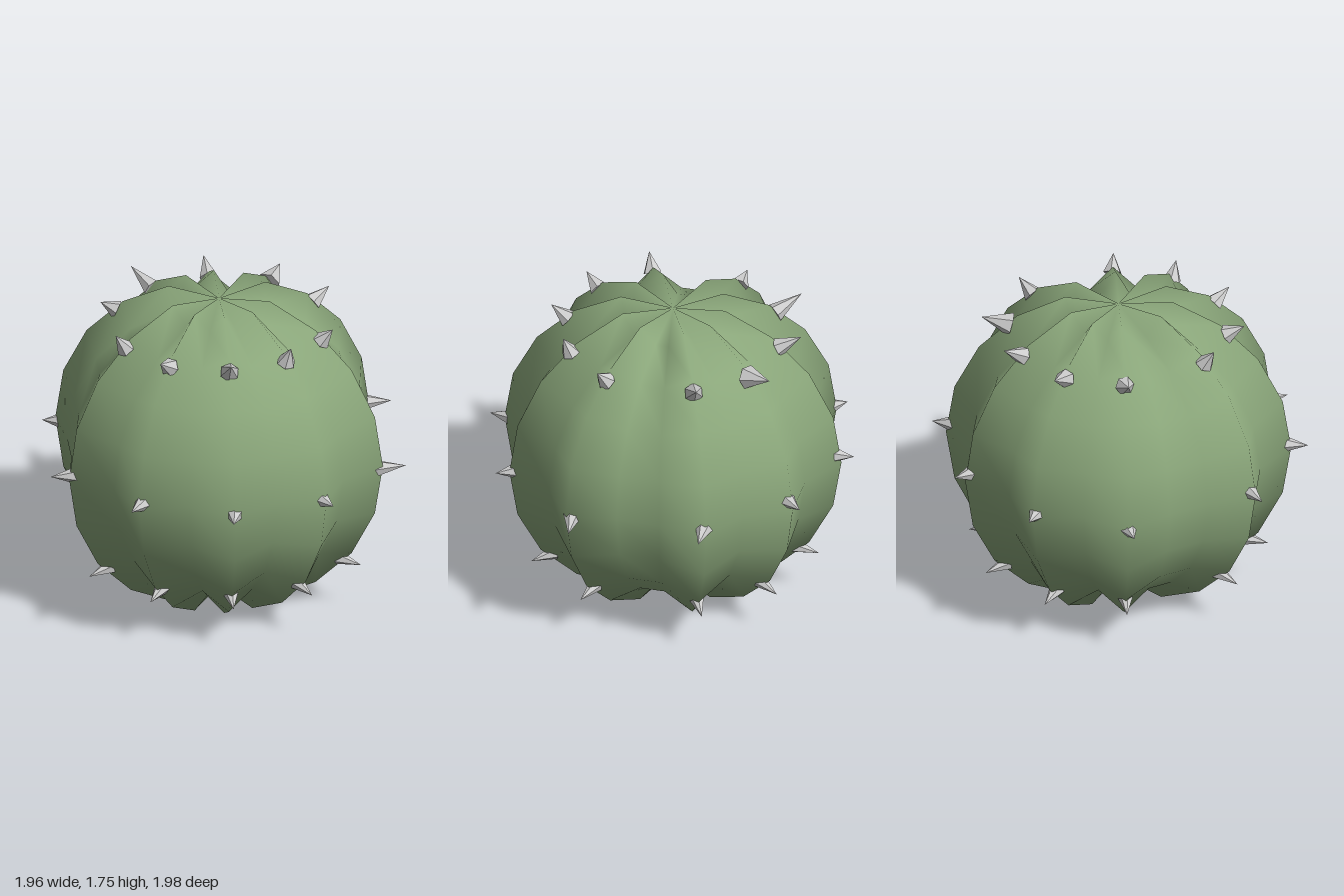
import * as THREE from 'three';
import { mergeVertices } from 'three/addons/utils/BufferGeometryUtils.js';

const SEG = 22;
const CENTER = new THREE.Vector3(-0.025, 0.885, -0.01);
const RIDGE = 0.922, VALLEY = 0.81, POLE = 0.85;
// columns of the sphere that stick out as ribs
const RIBS = [1, 3, 5, 7, 9, 12, 14, 16, 18, 20];
const columnAngle = (k) => (k / SEG) * Math.PI * 2;

// sphere whose columns are pushed in or out to make the ribs
function bodyGeometry() {
  let geo = new THREE.SphereGeometry(1, SEG, 10);
  geo.deleteAttribute('uv');
  geo.deleteAttribute('normal');
  const pos = geo.attributes.position;
  const v = new THREE.Vector3();
  for (let i = 0; i < pos.count; i++) {
    v.fromBufferAttribute(pos, i);
    if (Math.hypot(v.x, v.z) < 0.01) {
      v.set(0, Math.sign(v.y) * POLE, 0);
    } else {
      const k = (Math.round((Math.atan2(v.z, v.x) / (Math.PI * 2)) * SEG) + SEG) % SEG;
      v.multiplyScalar(RIBS.includes(k) ? RIDGE : VALLEY);
    }
    pos.setXYZ(i, v.x, v.y, v.z);
  }
  geo = mergeVertices(geo, 1e-4);
  geo.computeVertexNormals();
  return geo;
}

// three rows of spikes: where they leave the body (radius, height) and where each tip is
const ROWS = [
  {
    name: 'upperSpike', r: 0.575, y: 1.575, size: 0.052,
    tips: [[0.59, 1.655, 0.18], [0.38, 1.675, 0.46], [0.07, 1.65, 0.65], [-0.31, 1.635, 0.6],
      [-0.56, 1.67, 0.34], [-0.665, 1.615, -0.18], [-0.52, 1.65, -0.55], [-0.14, 1.65, -0.7],
      [0.27, 1.62, -0.68], [0.545, 1.645, -0.37]],
  },
  {
    name: 'middleSpike', r: 0.87, y: 0.885, size: 0.05,
    tips: [[0.98, 0.865, 0.19], [0.62, 0.885, 0.75], [0.1, 0.885, 0.99], [-0.45, 0.905, 0.91],
      [-0.9, 0.9, 0.49], [-0.98, 0.87, -0.26], [-0.68, 0.9, -0.75], [-0.17, 0.93, -0.99],
      [0.41, 0.935, -0.91], [0.87, 0.905, -0.51]],
  },
  {
    name: 'lowerSpike', r: 0.665, y: 0.31, size: 0.042,
    tips: RIBS.map((k) => {
      const a = columnAngle(k);
      return [CENTER.x + 0.8 * Math.cos(a), 0.28, CENTER.z + 0.8 * Math.sin(a)];
    }),
  },
];

export function createModel() {
  const group = new THREE.Group();
  group.name = 'cactus';

  const green = new THREE.MeshStandardMaterial({ color: 0x8aa67a });
  const grey = new THREE.MeshStandardMaterial({ color: 0xcccccc, flatShading: true });

  const body = new THREE.Mesh(bodyGeometry(), green);
  body.name = 'ribbedBody';
  body.position.copy(CENTER);
  group.add(body);

  const up = new THREE.Vector3(0, 1, 0);
  for (const row of ROWS) {
    RIBS.forEach((k, i) => {
      const a = columnAngle(k);
      const tip = new THREE.Vector3(...row.tips[i]);
      // middle row follows the height of its tips
      const y = row.name === 'middleSpike' ? tip.y : row.y;
      const base = new THREE.Vector3(
        CENTER.x + row.r * Math.cos(a), y, CENTER.z + row.r * Math.sin(a));
      const axis = tip.clone().sub(base);
      const size = row.name === 'upperSpike' && k === 18 ? 0.065 : row.size;
      const spike = new THREE.Mesh(new THREE.ConeGeometry(size, axis.length(), 6), grey);
      spike.name = row.name;
      spike.position.copy(base).add(tip).multiplyScalar(0.5);
      spike.quaternion.setFromUnitVectors(up, axis.normalize());
      group.add(spike);
    });
  }
  return group;
}
